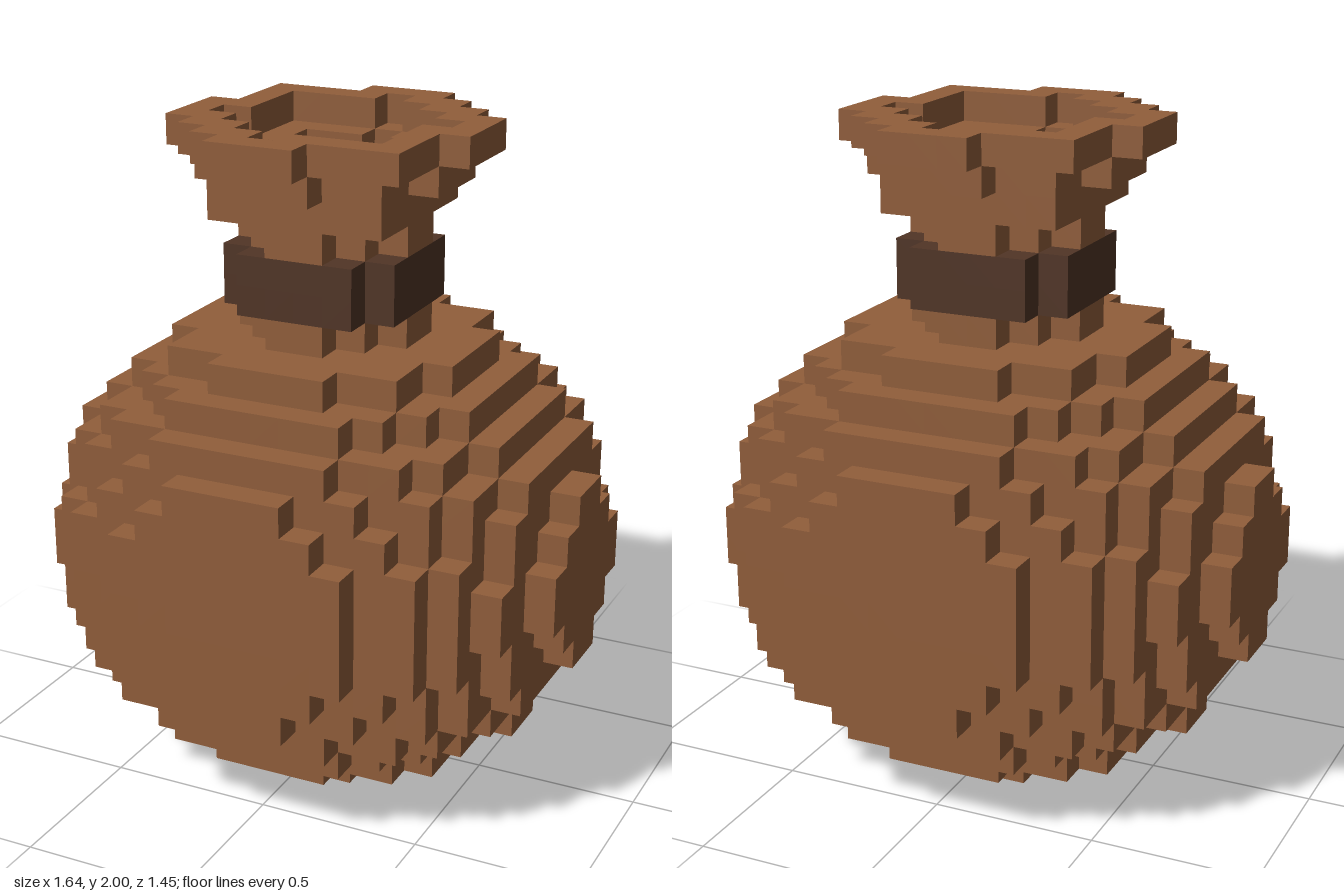
import * as THREE from 'three';

const U = 1 / 11; // cube size

// Builds the outer faces of every cube (i, j, k) accepted by inside()
function voxelGeometry(inside, j0, j1) {
  const pos = [], nor = [], idx = [];
  for (let j = j0; j <= j1; j++)
    for (let i = -10; i < 10; i++)
      for (let k = -10; k < 10; k++) {
        if (!inside(i, j, k)) continue;
        for (let axis = 0; axis < 3; axis++)
          for (const s of [1, -1]) {
            const n = [0, 0, 0];
            n[axis] = s;
            if (inside(i + n[0], j + n[1], k + n[2])) continue;
            const b = (axis + 1) % 3, c = (axis + 2) % 3, base = pos.length / 3;
            for (const [p, q] of [[0, 0], [1, 0], [1, 1], [0, 1]]) {
              const v = [i, j, k];
              v[axis] += s > 0 ? 1 : 0;
              v[b] += p;
              v[c] += q;
              pos.push(v[0] * U, v[1] * U, v[2] * U);
              nor.push(...n);
            }
            const order = s > 0 ? [0, 1, 2, 0, 2, 3] : [0, 2, 1, 0, 3, 2];
            idx.push(...order.map((o) => base + o));
          }
      }
  const g = new THREE.BufferGeometry();
  g.setAttribute('position', new THREE.Float32BufferAttribute(pos, 3));
  g.setAttribute('normal', new THREE.Float32BufferAttribute(nor, 3));
  g.setIndex(idx);
  return g;
}

// Round bag: stepped ellipsoid
const inBody = (i, j, k) =>
  j >= 0 && j <= 14 &&
  ((i + 0.5) / 9) ** 2 + ((j + 0.5 - 7.983) / 8) ** 2 + ((k + 0.5) / 8.5) ** 2 < 1;

const inDisc = (i, k, r2) => (i + 0.5) ** 2 + (k + 0.5) ** 2 < r2;

// Half outlines of the flared mouth, [from x, to x] for rows z = -n .. -1;
// the other half is the same turned by 180 degrees
const RIM = [[-1, 2], [-4, 3], [-4, 4], [-4, 5], [-5, 5]];
const LIP = [[-1, 2], [-3, 3], [-3, 4], [-4, 4]];
function inOutline(rows, i, k) {
  if (k >= 0) { i = -1 - i; k = -1 - k; }
  const row = rows[k + rows.length];
  return !!row && i >= row[0] && i < row[1];
}
// A wall one cube thick around the outline
function inWall(rows, i, k) {
  if (!inOutline(rows, i, k)) return false;
  for (let a = -1; a <= 1; a++)
    for (let b = -1; b <= 1; b++)
      if (!inOutline(rows, i + a, k + b)) return true;
  return false;
}

// Pinched neck and open ruffled mouth
function inNeck(i, j, k) {
  if (j === 15 || j === 18) return inDisc(i, k, 7);
  if (j === 19) return i >= -3 && i < 3 && k >= -3 && k < 3;
  if (j === 20) return inWall(LIP, i, k);
  if (j === 21) return inWall(RIM, i, k);
  return false;
}

const inTie = (i, j, k) => (j === 16 || j === 17) && inDisc(i, k, 9);

export function createModel() {
  const group = new THREE.Group();
  group.name = 'tiedBag';

  const leather = new THREE.MeshStandardMaterial({ color: 0x915e3b });
  leather.name = 'brown leather';
  const cord = new THREE.MeshStandardMaterial({ color: 0x513526 });
  cord.name = 'dark cord';

  const parts = [
    ['bagBody', inBody, 0, 14, leather],
    ['neckAndMouth', inNeck, 15, 21, leather],
    ['tieBand', inTie, 16, 17, cord],
  ];
  for (const [name, inside, j0, j1, material] of parts) {
    const mesh = new THREE.Mesh(voxelGeometry(inside, j0, j1), material);
    mesh.name = name;
    group.add(mesh);
  }
  return group;
}
